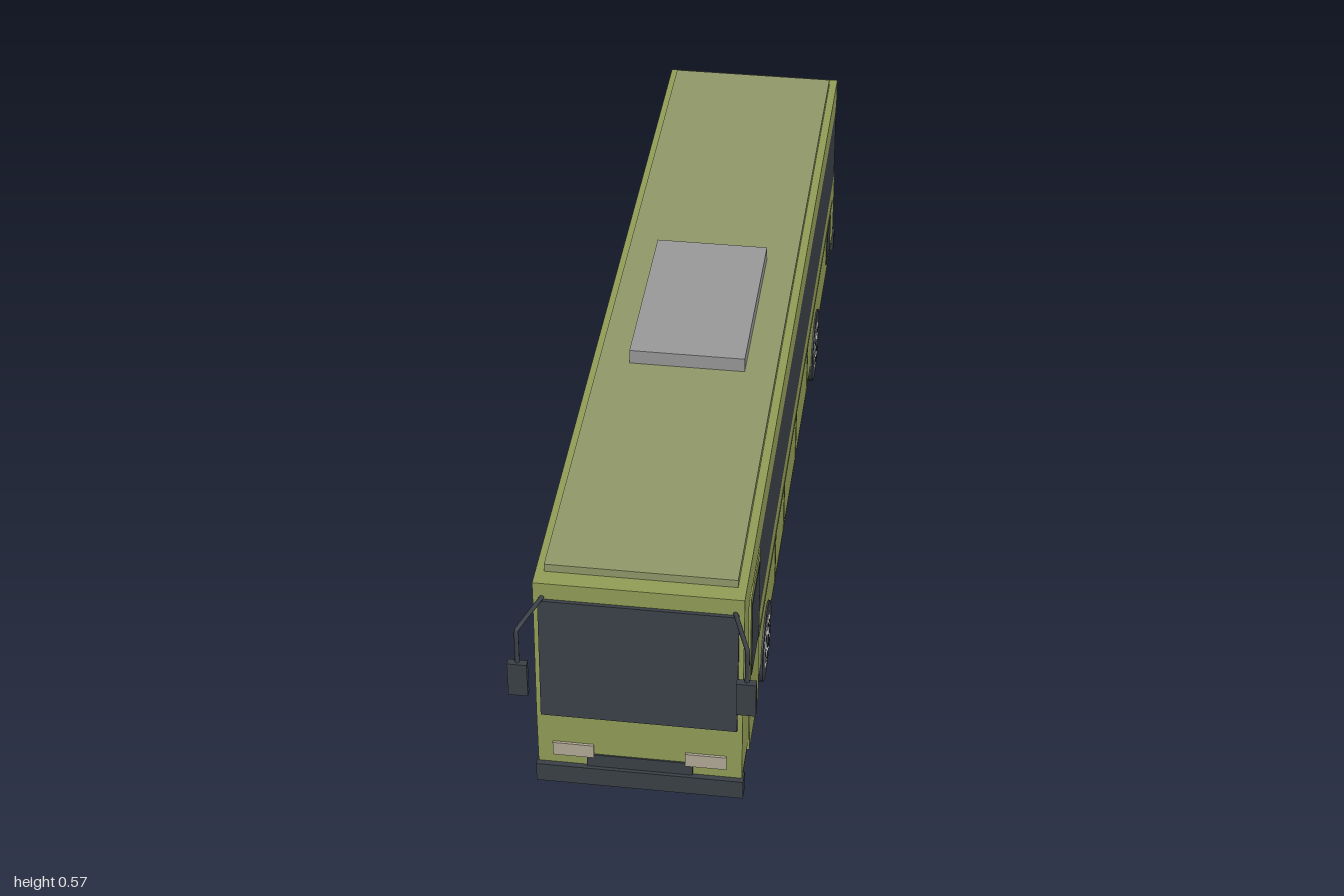
import * as THREE from 'three';

export function createModel() {
  const bus = new THREE.Group();
  bus.name = 'bus';
  const mat = (name, color) => {
    const m = new THREE.MeshStandardMaterial({ color });
    m.name = name;
    return m;
  };
  const green = mat('olive green', 0x949f57);
  const roofGreen = mat('roof green', 0x929a6a);
  const darkGreen = mat('dark olive', 0x67773f);
  const dark = mat('charcoal', 0x3b4148);
  const grey = mat('unit grey', 0x9a9a9a);
  const silver = mat('rim silver', 0xe8e8e6);
  const lamp = mat('lamp beige', 0xb4ab98);
  const red = mat('tail red', 0x962a38);

  const add = (name, geo, material, parent = bus) => {
    const m = new THREE.Mesh(geo, material);
    m.name = name;
    parent.add(m);
    return m;
  };
  // box given by its minimum and maximum on each axis
  const box = (name, material, [x0, x1], [y0, y1], [z0, z1], parent) => {
    const g = new THREE.BoxGeometry(x1 - x0, y1 - y0, z1 - z0);
    g.translate((x0 + x1) / 2, (y0 + y1) / 2, (z0 + z1) / 2);
    return add(name, g, material, parent);
  };
  // plate on one side of the bus, s = +1 left, -1 right
  const sidePlate = (name, material, s, out, y, z, inner = 0.19) =>
    box(name, material, s > 0 ? [inner, out] : [-out, -inner], y, z);

  // body shell: C-shaped side outline of lower body, front pillar and roof band
  const outline = [
    [-0.985, 0.09], [0.915, 0.09], [0.915, 0.215], [0.9, 0.49], [0.9, 0.525],
    [-0.975, 0.525], [-0.975, 0.455], [0.825, 0.455], [0.825, 0.265], [-0.985, 0.265],
  ].map(([z, y]) => new THREE.Vector2(z, y));
  const shell = new THREE.ExtrudeGeometry(new THREE.Shape(outline), { depth: 0.393, bevelEnabled: false });
  shell.translate(0, 0, -0.1965);
  shell.rotateY(-Math.PI / 2);
  add('bodyShell', shell, green);

  box('windowBand', dark, [-0.1965, 0.1965], [0.264, 0.456], [-0.965, 0.772]);
  box('underbody', green, [-0.193, 0.193], [0.065, 0.092], [-0.975, 0.9]);
  box('roofSlab', roofGreen, [-0.18, 0.18], [0.524, 0.542], [-0.945, 0.865]);
  box('roofUnit', grey, [-0.117, 0.117], [0.541, 0.573], [-0.18, 0.225]);

  // front
  const screen = add('windshield', new THREE.BoxGeometry(0.374, 0.272, 0.008), dark);
  screen.position.set(0, 0.3525, 0.911);
  screen.rotation.x = -Math.atan(0.015 / 0.275);
  box('frontBumper', dark, [-0.2, 0.2], [0.046, 0.089], [0.897, 0.925]);
  box('frontPlate', dark, [-0.102, 0.102], [0.088, 0.119], [0.91, 0.918]);

  // rear
  box('rearBumper', dark, [-0.2, 0.2], [0.046, 0.091], [-1, -0.972]);
  box('rearWindow', dark, [-0.15, 0.15], [0.325, 0.44], [-0.972, -0.964]);
  for (const [y0, y1] of [[0.321, 0.326], [0.439, 0.444]])
    box('rearWindowTrim', dark, [-0.155, 0.155], [y0, y1], [-0.976, -0.964]);
  for (const x of [-0.155, 0.15])
    box('rearWindowTrim', dark, [x, x + 0.005], [0.321, 0.444], [-0.976, -0.964]);

  // passenger door, on the left side
  sidePlate('door', green, 1, 0.199, [0.065, 0.45], [0.659, 0.81]);
  sidePlate('doorWindow', dark, 1, 0.2005, [0.252, 0.43], [0.675, 0.8], 0.198);

  const wheel = () => {
    const w = new THREE.Group();
    w.name = 'wheel';
    const disc = (name, m, r, x0, x1, y = 0, z = 0, n = 12) => {
      const g = new THREE.CylinderGeometry(r, r, x1 - x0, n);
      g.rotateZ(Math.PI / 2);
      g.translate((x0 + x1) / 2, y, z);
      add(name, g, m, w);
    };
    disc('tyre', dark, 0.083, -0.024, 0.024, 0, 0, 40);
    disc('rim', silver, 0.056, -0.025, 0.0252, 0, 0, 32);
    disc('hub', dark, 0.014, 0.02, 0.027, 0, 0, 16);
    for (let i = 0; i < 8; i++) {
      const a = (i / 8) * Math.PI * 2;
      disc('rimHole', dark, 0.0085, 0.02, 0.026, Math.cos(a) * 0.037, Math.sin(a) * 0.037);
    }
    box('tyreMark', grey, [0.02, 0.025], [0.068, 0.078], [-0.011, 0.011], w);
    return w;
  };

  for (const s of [1, -1]) {
    const span = (a, b) => (s > 0 ? [a, b] : [-b, -a]);
    box('headlight', lamp, span(0.088, 0.167), [0.113, 0.144], [0.911, 0.92]);
    box('tailLightHousing', dark, span(0.143, 0.182), [0.152, 0.242], [-0.99, -0.984]);
    box('tailLight', red, span(0.145, 0.18), [0.154, 0.24], [-0.994, -0.989]);

    // skirt, panel seams and engine vent
    sidePlate('skirt', darkGreen, s, 0.1945, [0.065, 0.091], [-0.972, 0.897]);
    sidePlate('beltSeam', darkGreen, s, 0.198, [0.214, 0.219], [-0.93, 0.855]);
    for (const z of [0.337, 0.166, -0.08, -0.33])
      sidePlate('panelSeam', darkGreen, s, 0.198, [0.09, 0.215], [z - 0.003, z + 0.003]);
    sidePlate('engineVent', dark, s, 0.199, [0.125, 0.21], [-0.875, -0.79]);

    // wheels
    for (const z of [0.512, -0.52]) {
      const w = wheel();
      w.position.set(s * 0.176, 0.083, z);
      if (s < 0) w.rotation.y = Math.PI;
      bus.add(w);
    }

    // mirror on a bent arm
    const p = [[0.178, 0.492, 0.895], [0.205, 0.488, 0.972], [0.212, 0.484, 0.988], [0.212, 0.4, 0.991]]
      .map(([x, y, z]) => new THREE.Vector3(s * x, y, z));
    const path = new THREE.CurvePath();
    for (let i = 0; i < 3; i++) path.add(new THREE.LineCurve3(p[i], p[i + 1]));
    add('mirrorArm', new THREE.TubeGeometry(path, 24, 0.0045, 8, false), dark);
    box('mirrorHousing', dark, span(0.193, 0.23), [0.335, 0.411], [0.986, 1]);
    box('mirrorGlass', silver, span(0.196, 0.227), [0.339, 0.407], [0.984, 0.987]);
  }
  return bus;
}
